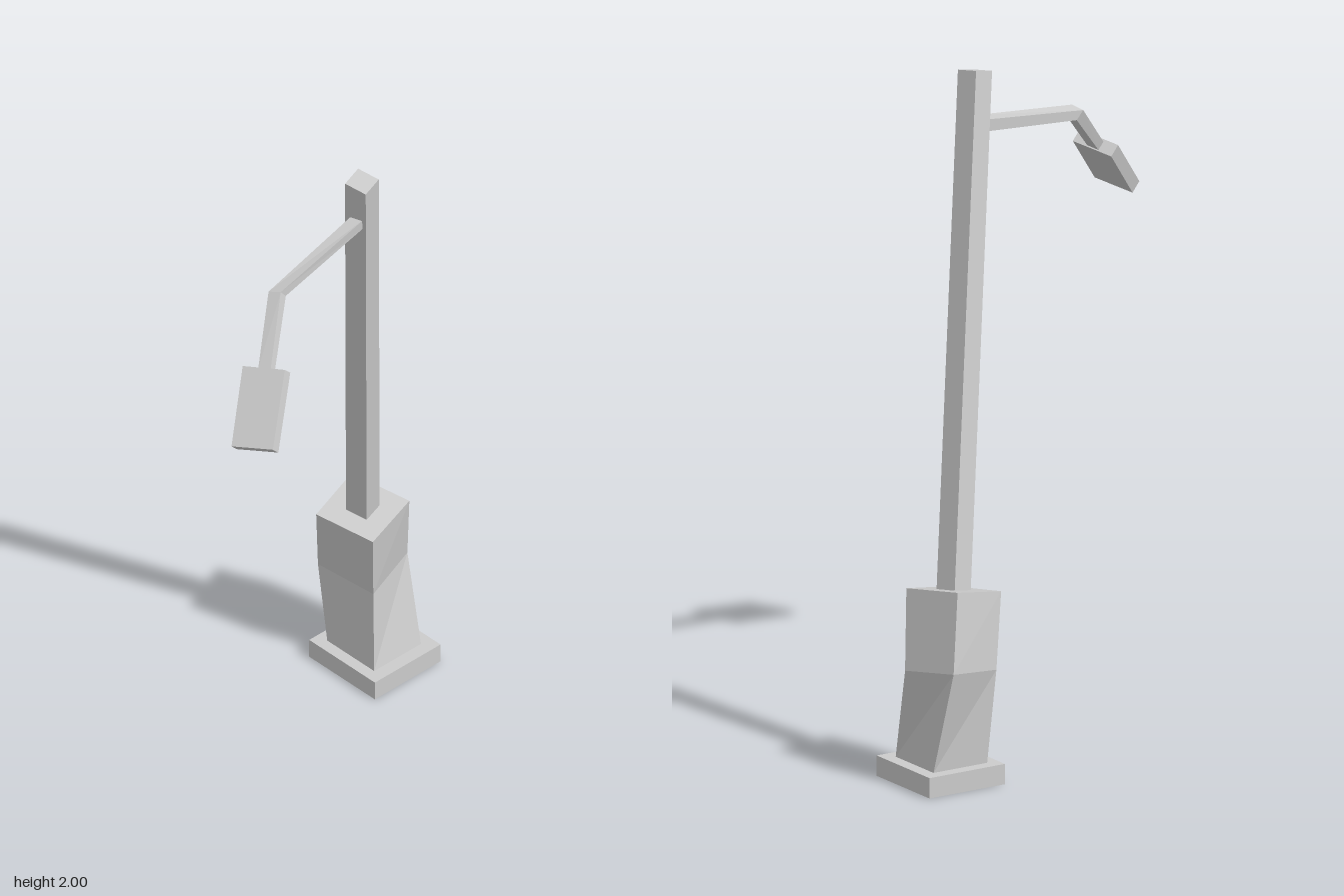
import * as THREE from 'three';

const material = new THREE.MeshStandardMaterial({
  color: 0xcccccc, flatShading: true, side: THREE.DoubleSide,
});

// Joins four-cornered sections (counter-clockwise seen from the far end) into a faceted solid
function loft(name, sections, capStart, capEnd) {
  const pos = [];
  const quad = (a, b, c, d) => pos.push(...a, ...b, ...c, ...a, ...c, ...d);
  for (let s = 0; s < sections.length - 1; s++) {
    const lo = sections[s], hi = sections[s + 1];
    for (let i = 0; i < 4; i++) {
      const j = (i + 1) % 4;
      quad(lo[i], lo[j], hi[j], hi[i]);
    }
  }
  const first = sections[0], last = sections[sections.length - 1];
  if (capStart) quad(first[3], first[2], first[1], first[0]);
  if (capEnd) quad(...last);
  const geometry = new THREE.BufferGeometry();
  geometry.setAttribute('position', new THREE.Float32BufferAttribute(pos, 3));
  geometry.computeVertexNormals();
  const mesh = new THREE.Mesh(geometry, material);
  mesh.name = name;
  return mesh;
}

// Level rectangle: back left, front left, front right, back right
const rect = (x0, x1, z0, z1, y) => [[x0, y, z0], [x0, y, z1], [x1, y, z1], [x1, y, z0]];
const shift = (section, d) => section.map((p) => p.map((v, i) => v + d[i]));

export function createModel() {
  const group = new THREE.Group();

  // Plinth: open underneath, its top rim meeting the hollow pedestal
  const foot = rect(-0.283, -0.09, -0.502, -0.32, 0.06);
  group.add(loft('plinth', [
    rect(-0.32, -0.05, -0.54, -0.285, 0),
    rect(-0.32, -0.05, -0.54, -0.285, 0.06),
    foot,
  ], false, false));

  // Bent, twisted pedestal
  group.add(loft('pedestal', [
    foot,
    [[-0.345, 0.36, -0.475], [-0.3, 0.335, -0.3], [-0.12, 0.305, -0.345], [-0.165, 0.335, -0.52]],
    [[-0.305, 0.585, -0.435], [-0.267, 0.552, -0.262], [-0.085, 0.53, -0.31], [-0.122, 0.562, -0.487]],
  ], false, true));

  // Leaning pole
  const poleTop = [[0.01, 2, -0.163], [0.023, 1.987, -0.1], [0.09, 1.977, -0.117], [0.077, 1.99, -0.18]];
  group.add(loft('pole', [shift(poleTop, [-0.25, -1.46, -0.24]), poleTop], true, true));

  // Kinked arm reaching forward and down to the lamp
  group.add(loft('arm', [
    [[0.015, 1.815, -0.14], [0.052, 1.822, -0.148], [0.055, 1.855, -0.145], [0.015, 1.85, -0.135]],
    [[0.062, 1.78, 0.213], [0.097, 1.788, 0.2], [0.1, 1.815, 0.223], [0.065, 1.805, 0.237]],
    [[0.167, 1.64, 0.358], [0.202, 1.648, 0.343], [0.205, 1.668, 0.362], [0.17, 1.66, 0.377]],
  ], true, true));

  // Slab lamp head
  const lampTop = [[0.128, 1.66, 0.397], [0.23, 1.505, 0.537], [0.345, 1.53, 0.485], [0.246, 1.685, 0.345]];
  group.add(loft('lampHead', [shift(lampTop, [-0.006, -0.028, -0.027]), lampTop], true, true));

  return group;
}
